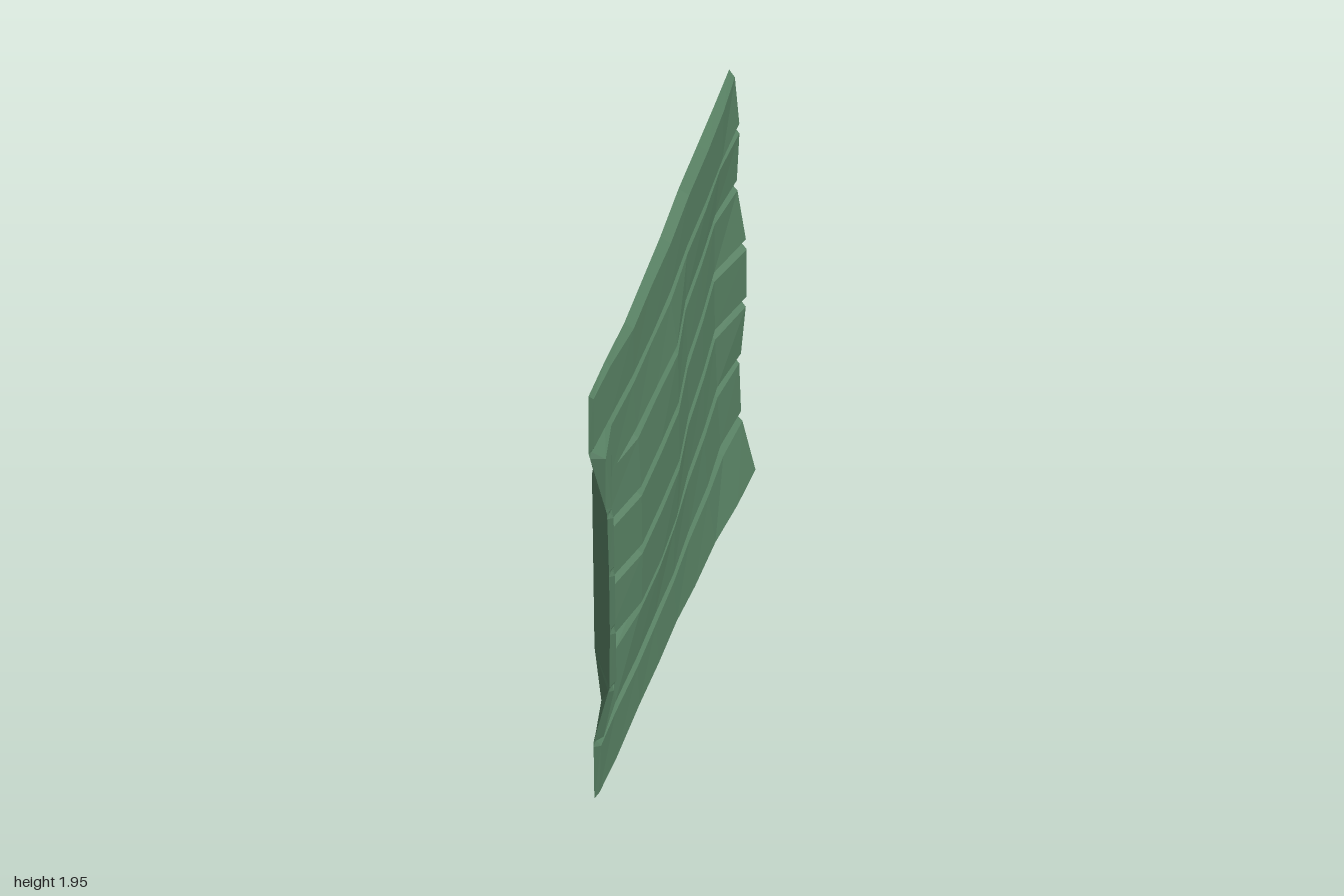
import * as THREE from 'three';

const lerp = THREE.MathUtils.lerp;

// Columns across the panel: 0 at the +z end, 1 at the -z end
const cols = [0, 0.108, 0.245, 0.375, 0.5, 0.63, 0.765, 0.885, 1];
const bottomY = [0, 0.015, 0.07, 0.08, 0.09, 0.065, 0.075, 0.08, 0.09];
const topY = [1.87, 1.88, 1.86, 1.875, 1.89, 1.925, 1.935, 1.945, 1.945];
const topSeamSag = [0, 0.005, 0.02, 0.025, 0.025, 0.01, 0.01, 0.01, 0];

// Depth (x) of each plank's face: its lower edge, then its upper edge
const faceX = [
  [0.02, 0.03, 0.045, 0.05, 0.05, 0.05, 0.055, 0.075, 0.085],
  [0.03, 0.03, 0.04, 0.04, 0.04, 0.03, 0.03, 0.02, 0.035],

  [0.035, 0.03, 0.035, 0.035, 0.04, 0.03, 0.03, 0.015, 0.035],
  [0.085, 0.02, 0.055, 0.06, 0.05, 0.03, 0.02, 0.005, 0.03],

  [0.09, 0.0, 0.06, 0.065, 0.055, 0.03, 0.02, 0.005, 0.035],
  [0.09, -0.005, 0.065, 0.07, 0.07, 0.035, 0.02, 0, 0.06],

  [0.09, -0.005, 0.065, 0.07, 0.07, 0.035, 0.02, 0, 0.06],
  [0.09, -0.005, 0.065, 0.07, 0.07, 0.035, 0.02, 0, 0.065],

  [0.09, -0.005, 0.065, 0.07, 0.07, 0.035, 0.02, 0, 0.065],
  [0.088, -0.005, 0.055, 0.06, 0.07, 0.03, 0.02, 0.005, 0.03],

  [0.085, 0.03, 0.05, 0.06, 0.07, 0.03, 0.02, 0.005, 0.03],
  [0.06, 0.03, 0.04, 0.04, 0.045, 0.04, 0.04, 0.03, 0.045],

  [0.02, 0.03, 0.04, 0.045, 0.045, 0.04, 0.04, 0.035, 0.045],
  [0.02, 0.03, 0.045, 0.045, 0.05, 0.05, 0.05, 0.045, 0.03],
];
// Depth (x) of the plain back, one row per seam from bottom to top
const backX = [
  [0.005, 0.01, 0.01, 0.01, 0.01, 0.01, 0.01, 0.02, 0.045],
  [0.005, -0.02, -0.03, -0.03, -0.02, -0.01, -0.01, -0.01, 0.005],
  [0.068, -0.045, -0.05, -0.055, -0.03, -0.025, -0.02, -0.025, 0],
  [0.072, -0.045, -0.045, -0.06, -0.05, -0.03, -0.02, -0.045, 0.03],
  [0.072, -0.045, -0.045, -0.06, -0.06, -0.03, -0.02, -0.045, 0.035],
  [0.068, -0.045, -0.045, -0.055, -0.1, -0.045, -0.02, -0.025, 0],
  [0.002, 0, 0, 0, -0.005, 0, 0, 0, 0.01],
  [0.005, 0.01, 0.01, 0.01, 0.01, 0.01, 0.01, 0.01, 0.005],
];

const PLANKS = 7;
const BEVEL = 0.085; // half width of a groove, in plank heights
const GROOVE = 0.024; // groove depth
const END_INSET = 0.014; // the face stops short of the panel's ends

// Rows up the panel: a bevel, a valley and a bevel at each seam
const rows = [0];
for (let k = 1; k < PLANKS; k++) rows.push(k - BEVEL, k, k + BEVEL);
rows.push(PLANKS);

// Height of a seam; the outer edges are uneven
function seamY(k, c) {
  if (k === 0) return bottomY[c];
  if (k === PLANKS) return topY[c];
  const sag = k === PLANKS - 1 ? topSeamSag[c] : 0;
  return lerp(0.262, 0.35, cols[c]) + 0.268 * (k - 1) - sag;
}

function backPoint(v, c) {
  const k = Math.min(Math.floor(v), PLANKS - 1);
  const t = v - k;
  return [
    lerp(backX[k][c], backX[k + 1][c], t),
    lerp(seamY(k, c), seamY(k + 1, c), t),
    lerp(0.92, -1, cols[c]) + 0.08 * v / PLANKS,
  ];
}

function facePoint(v, c) {
  const k = Math.min(Math.floor(v), PLANKS - 1);
  let [rear, y, z] = backPoint(v, c);
  let x = lerp(faceX[2 * k][c], faceX[2 * k + 1][c], v - k);
  if (v === 0) y += 0.02;
  else if (v === PLANKS) y -= 0.02;
  else if (v === k) x = Math.max(Math.min(x, faceX[2 * k - 1][c]) - GROOVE, rear + 0.006);
  if (c === 0) z -= END_INSET;
  if (c === cols.length - 1) z += END_INSET;
  return [x, y, z];
}

function panelGeometry() {
  const positions = [];
  const index = [];
  const n = rows.length;
  const loop = 2 * n;
  const quad = (a, b, c, d) => index.push(a, b, c, a, c, d);

  // Closed cross-sections: up the planked face, then down the back
  cols.forEach((_, c) => {
    for (const v of rows) positions.push(...facePoint(v, c));
    for (const v of [...rows].reverse()) positions.push(...backPoint(v, c));
  });
  for (let c = 0; c < cols.length - 1; c++) {
    for (let j = 0; j < loop; j++) {
      const a = c * loop;
      const b = a + loop;
      const next = (j + 1) % loop;
      quad(a + j, b + j, b + next, a + next);
    }
  }
  // End caps that follow the groove notches
  const last = (cols.length - 1) * loop;
  for (let j = 0; j < n - 1; j++) {
    const back = loop - 1 - j;
    quad(back, j, j + 1, back - 1);
    quad(last + j, last + back, last + back - 1, last + j + 1);
  }

  const geometry = new THREE.BufferGeometry();
  geometry.setAttribute('position', new THREE.Float32BufferAttribute(positions, 3));
  geometry.setIndex(index);
  const flat = geometry.toNonIndexed();
  flat.computeVertexNormals();
  return flat;
}

export function createModel() {
  const group = new THREE.Group();
  group.name = 'warpedPlankPanel';
  const material = new THREE.MeshStandardMaterial({ color: 0x557d60, flatShading: true });
  const panel = new THREE.Mesh(panelGeometry(), material);
  panel.name = 'plankPanel';
  group.add(panel);
  return group;
}
